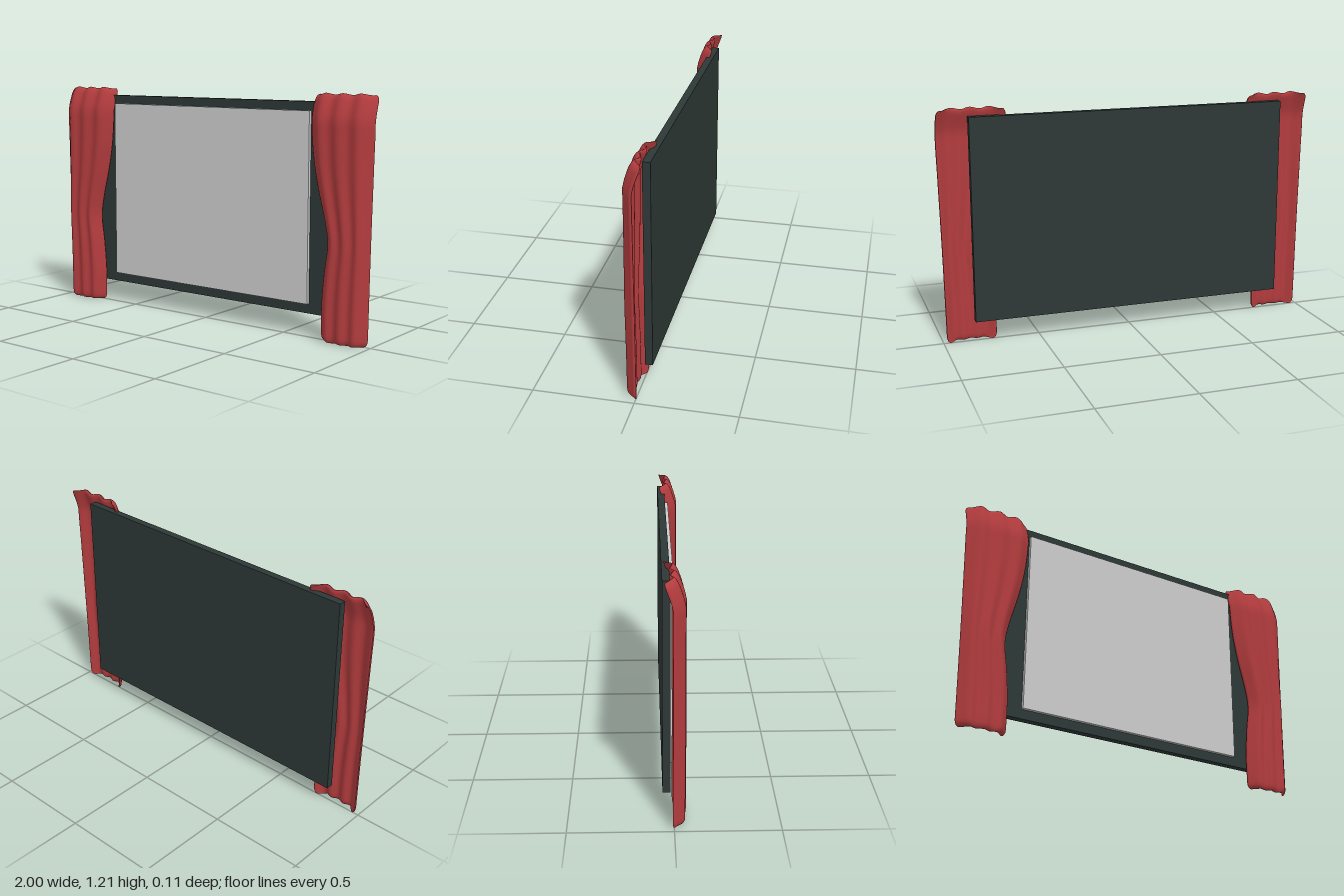
import * as THREE from 'three';

const red = new THREE.MeshStandardMaterial({ color: 0xb33c3e });
red.name = 'curtainRed';
const dark = new THREE.MeshStandardMaterial({ color: 0x2d3836 });
dark.name = 'boardDark';
const grey = new THREE.MeshStandardMaterial({ color: 0xcccccc });
grey.name = 'screenGrey';

// Curtain edges by height: [y, inner x, outer x]
const EDGES = [
  [0, 0.725, 0.983], [0.18, 0.725, 0.985], [0.34, 0.738, 0.987], [0.48, 0.755, 0.989],
  [0.6, 0.736, 0.991], [0.75, 0.697, 0.994], [0.9, 0.668, 0.997], [1.05, 0.655, 1], [1.21, 0.652, 0.998],
];
const innerCurve = new THREE.SplineCurve(EDGES.map(([y, x]) => new THREE.Vector2(y, x)));
const outerCurve = new THREE.SplineCurve(EDGES.map(([y, , x]) => new THREE.Vector2(y, x)));

// x of an edge curve at a given height
function edgeAt(curve, y) {
  let lo = 0, hi = 1;
  for (let i = 0; i < 24; i++) {
    const m = (lo + hi) / 2;
    if (curve.getPoint(m).x < y) lo = m; else hi = m;
  }
  return curve.getPoint(lo).y;
}

// Closed wavy sheet lofted from bottom hem to top, leaning back at the top
function curtainGeometry(side) {
  const N = 96, H = 1.21, T = 0.016, R = 0.035;
  const ys = [0, 0.003, 0.01, 0.02, R];
  for (let i = 1; i <= 36; i++) ys.push(R + (H - 2 * R) * i / 36);
  ys.push(H - 0.02, H - 0.01, H - 0.003, H);

  const pos = [], idx = [];
  ys.forEach((y, r) => {
    const d = Math.min(1, Math.min(y, H - y) / R);
    const round = Math.sqrt(Math.max(0, 1 - (1 - d) ** 2));
    const xi = edgeAt(innerCurve, y), xo = edgeAt(outerCurve, y);
    const mid = (xi + xo) / 2, half = (xo - xi) / 2 - 0.02 * (1 - round);
    const lean = -0.042 * Math.max(0, (y - 1.08) / 0.13) ** 1.3;
    for (let k = 0; k < N; k++) {
      const a = k / N * Math.PI * 2, u = Math.cos(a), s = Math.sin(a);
      const fold = 0.034 - 0.03 * u ** 4 + 0.007 * Math.cos(u * Math.PI * 2 / 0.62);
      const thick = T * round * Math.sign(s) * Math.sqrt(Math.abs(s));
      // hem and top edge undulate slightly with the folds
      const ripple = 0.004 * Math.cos(u * Math.PI * 2 / 0.62) * Math.max(0, (y - 1.1) / 0.11);
      pos.push(side * (mid + half * u), y + ripple, fold + thick + lean);
      if (r < ys.length - 1) {
        const i = r * N + k, j = r * N + (k + 1) % N;
        if (side > 0) idx.push(i, i + N, j, j, i + N, j + N);
        else idx.push(i, j, i + N, j, j + N, i + N);
      }
    }
  });
  const g = new THREE.BufferGeometry();
  g.setAttribute('position', new THREE.Float32BufferAttribute(pos, 3));
  g.setIndex(idx);
  g.computeVertexNormals();
  return g;
}

function box(name, w, h, d, y, z, mat) {
  const m = new THREE.Mesh(new THREE.BoxGeometry(w, h, d), mat);
  m.name = name;
  m.position.set(0, y, z);
  return m;
}

export function createModel() {
  const group = new THREE.Group();
  group.name = 'curtainedScreen';

  // Backing board and raised screen panel
  group.add(box('backBoard', 1.68, 1.055, 0.038, 0.6425, -0.034, dark));
  group.add(box('screenPanel', 1.28, 0.96, 0.02, 0.645, -0.007, grey));

  // Pair of mirrored curtains
  for (const [name, side] of [['leftCurtain', 1], ['rightCurtain', -1]]) {
    const m = new THREE.Mesh(curtainGeometry(side), red);
    m.name = name;
    group.add(m);
  }
  return group;
}
